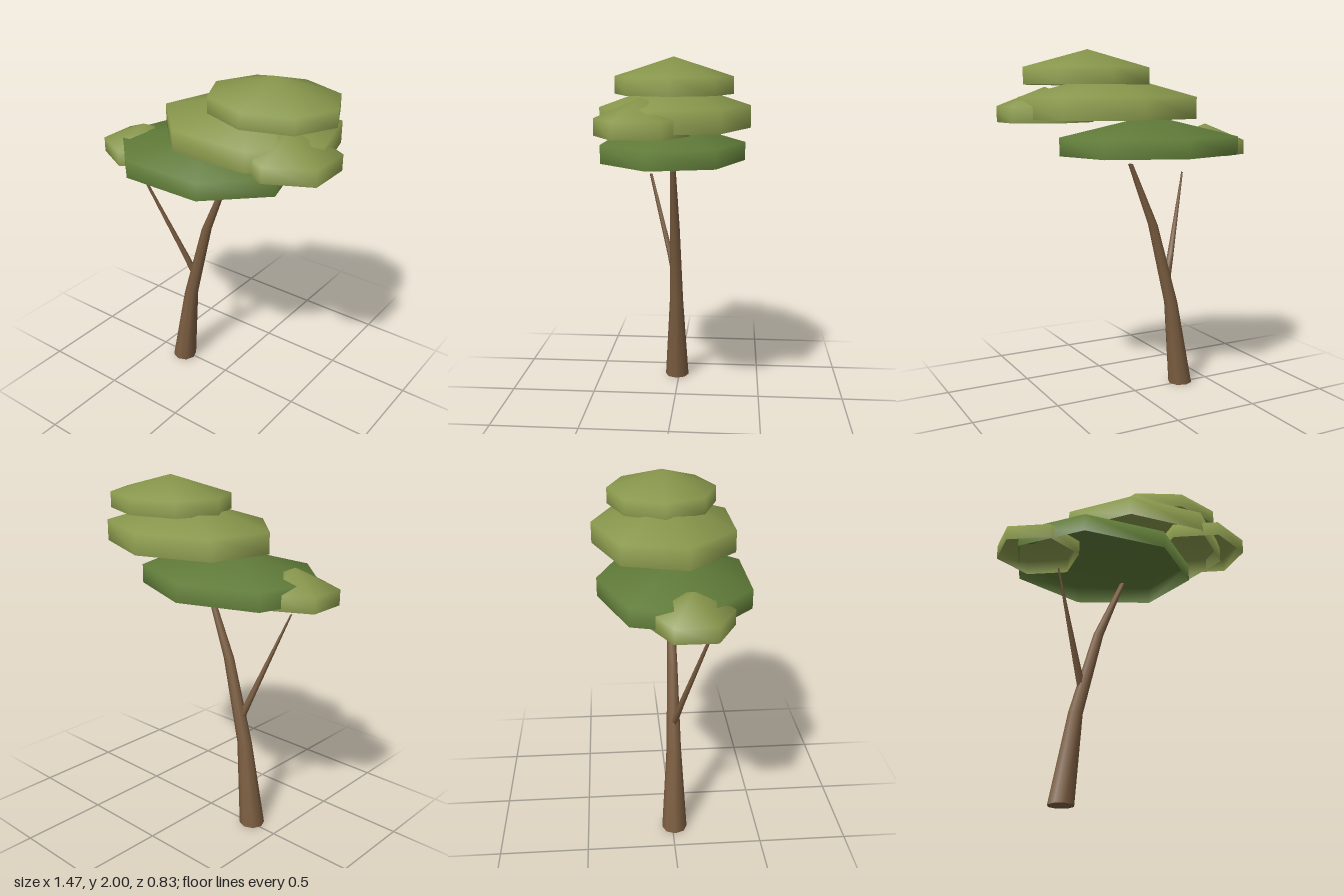
import * as THREE from 'three';
import { mergeVertices } from 'three/addons/utils/BufferGeometryUtils.js';

const material = (name, color, side = THREE.FrontSide) => {
  const m = new THREE.MeshStandardMaterial({ color, side });
  m.name = name;
  return m;
};

// Smooth, capped limb through rings of [x, y, z, radiusX, radiusZ], bottom to top
function limb(rings, sides) {
  let geo = new THREE.CylinderGeometry(1, 1, 1, sides, rings.length - 1);
  geo.deleteAttribute('uv');
  geo = mergeVertices(geo); // closes the seam, keeps the caps sharp
  const p = geo.attributes.position;
  for (let i = 0; i < p.count; i++) {
    const [x, y, z, rx, rz] = rings[Math.round((p.getY(i) + 0.5) * (rings.length - 1))];
    p.setXYZ(i, x + p.getX(i) * rx, y, z + p.getZ(i) * rz);
  }
  geo.computeVertexNormals();
  return geo;
}

// Smooth, open-bottomed leaf cap: straight rim wall with a shallow cone on top
function leafCap({ sides, x, z, rx, rz, bottom, rim, apex }) {
  const profile = [[1, bottom], [1, rim], [0, apex]].map(([r, y]) => new THREE.Vector2(r, y));
  let geo = new THREE.LatheGeometry(profile, sides, Math.PI);
  geo.deleteAttribute('uv');
  geo.deleteAttribute('normal');
  geo.scale(rx, 1, rz).translate(x, 0, z);
  geo = mergeVertices(geo);
  geo.computeVertexNormals();
  return geo;
}

export function createModel() {
  const tree = new THREE.Group();
  tree.name = 'tree';
  const bark = material('bark brown', 0x7c5e41);
  const darkLeaf = material('dark leaf green', 0x5f7a38, THREE.DoubleSide);
  const lightLeaf = material('light leaf green', 0x87964b, THREE.DoubleSide);

  const add = (name, geo, mat) => {
    const mesh = new THREE.Mesh(geo, mat);
    mesh.name = name;
    tree.add(mesh);
  };

  // Leaning trunk and its thin side branch
  add('trunk', limb([
    [-0.322, 0, 0.013, 0.073, 0.073],
    [-0.254, 0.51, 0.013, 0.042, 0.042],
    [-0.127, 1.0, 0.013, 0.03, 0.029],
    [0.022, 1.365, 0.013, 0.014, 0.017],
  ], 8), bark);
  add('branch', limb([
    [-0.225, 0.66, 0.015, 0.026, 0.022],
    [-0.273, 0.805, 0.052, 0.021, 0.018],
    [-0.43, 1.285, 0.185, 0.003, 0.01],
  ], 5), bark);

  // Stacked canopy
  add('lowerCanopy', leafCap({
    sides: 7, x: -0.12, z: 0.03, rx: 0.548, rz: 0.426, bottom: 1.415, rim: 1.52, apex: 1.64,
  }), darkLeaf);
  add('middleCanopy', leafCap({
    sides: 7, x: 0.16, z: -0.007, rx: 0.518, rz: 0.413, bottom: 1.625, rim: 1.745, apex: 1.88,
  }), lightLeaf);
  add('topCanopy', leafCap({
    sides: 8, x: 0.3, z: -0.015, rx: 0.372, rz: 0.312, bottom: 1.81, rim: 1.9, apex: 2,
  }), lightLeaf);

  // Small side tufts
  add('rightTuft', leafCap({
    sides: 6, x: -0.525, z: 0.08, rx: 0.245, rz: 0.22, bottom: 1.4, rim: 1.485, apex: 1.585,
  }), lightLeaf);
  add('leftTuft', leafCap({
    sides: 6, x: 0.492, z: 0.135, rx: 0.274, rz: 0.245, bottom: 1.607, rim: 1.695, apex: 1.8,
  }), lightLeaf);

  return tree;
}
